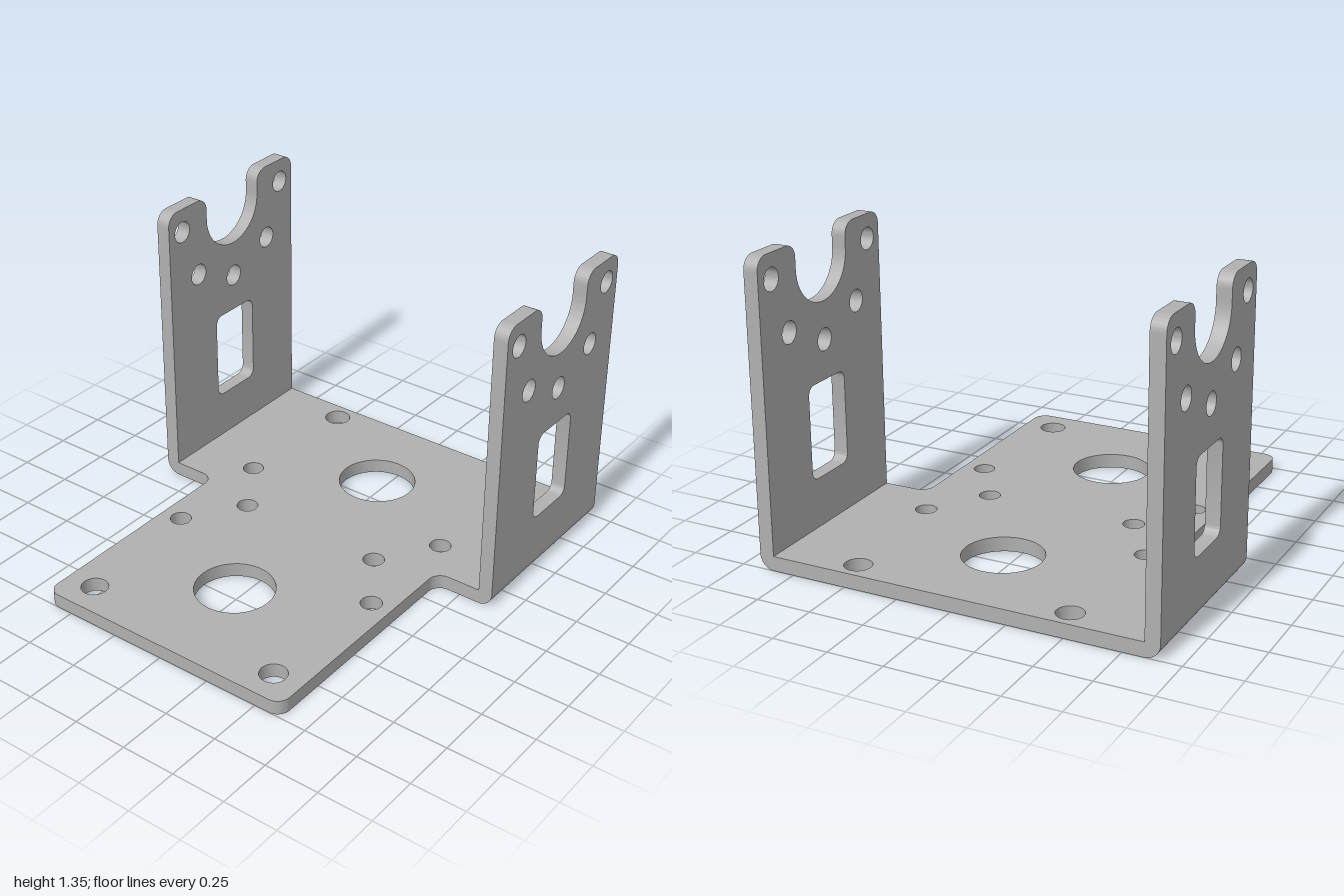
import * as THREE from 'three';
import { toCreasedNormals } from 'three/addons/utils/BufferGeometryUtils.js';

const T = 0.066;            // sheet thickness
const HALF_Z = 0.91;        // outer face of the flanges
const FLANGE_X = 0.556;     // flange centre line
const FLANGE_W = 0.888;

// Traces right-angled corners [x, y, radius]; the first corner must be rounded.
function traceRounded(path, corners) {
  const n = corners.length;
  corners.forEach(([x, y, r], i) => {
    if (!r) return path.lineTo(x, y);
    const p = new THREE.Vector2(x, y);
    const a = corners[(i + n - 1) % n], b = corners[(i + 1) % n];
    const u = new THREE.Vector2(a[0], a[1]).sub(p).normalize();
    const v = new THREE.Vector2(b[0], b[1]).sub(p).normalize();
    path.absarc(x + r * (u.x + v.x), y + r * (u.y + v.y), r,
      Math.atan2(-v.y, -v.x), Math.atan2(-u.y, -u.x), u.cross(v) > 0);
  });
  path.closePath();
  return path;
}

function drill(shape, x, y, r) {
  shape.holes.push(new THREE.Path().absarc(x, y, r, 0, Math.PI * 2, true));
}

function sheet(shape) {
  const geometry = new THREE.ExtrudeGeometry(shape, { depth: T, bevelEnabled: false, curveSegments: 16 });
  return toCreasedNormals(geometry, 0.5);
}

// T-shaped base plate with its bolt pattern
function basePlate(material) {
  const e = HALF_Z - T, w = 0.63, r = 0.06, step = FLANGE_X - FLANGE_W / 2;
  const shape = traceRounded(new THREE.Shape(), [
    [-1, -w, r], [step, -w, r], [step, -e, 0], [1, -e, 0],
    [1, e, 0], [step, e, 0], [step, w, r], [-1, w, r],
  ]);
  for (const s of [-1, 1]) {
    drill(shape, -0.86, s * 0.487, 0.06);
    drill(shape, 0.908, s * 0.487, 0.06);
    drill(shape, -0.24, s * 0.53, 0.048);
    drill(shape, 0.29, s * 0.53, 0.048);
    drill(shape, 0.025, s * 0.355, 0.048);
  }
  drill(shape, -0.505, 0, 0.178);
  drill(shape, FLANGE_X, 0, 0.178);
  const mesh = new THREE.Mesh(sheet(shape).rotateX(-Math.PI / 2), material);
  mesh.name = 'basePlate';
  return mesh;
}

// Upright flange with top notch, window, holes and the rounded bend below it
function flange(material) {
  const h = FLANGE_W / 2, top = 1.35, n = 0.183, r = 0.06, notchY = 1.055;
  const shape = traceRounded(new THREE.Shape(), [
    [h, top, r], [n, top, r], [n, notchY, 0.182], [-n, notchY, 0.182],
    [-n, top, r], [-h, top, r], [-h, T, 0], [h, T, 0],
  ]);
  for (const s of [-1, 1]) {
    drill(shape, s * 0.354, 1.24, 0.05);
    drill(shape, s * 0.25, 0.988, 0.05);
  }
  drill(shape, 0, 0.886, 0.05);
  shape.holes.push(traceRounded(new THREE.Path(), [
    [-0.134, 0.287, 0.04], [-0.134, 0.71, 0.04], [0.134, 0.71, 0.04], [0.134, 0.287, 0.04],
  ]));
  const wall = new THREE.Mesh(sheet(shape), material);
  wall.name = 'flangeWall';
  wall.position.z = HALF_Z - T;

  // quarter-round bend joining wall and base
  const bend = new THREE.Mesh(
    new THREE.CylinderGeometry(T, T, FLANGE_W, 12, 1, false, -Math.PI / 2, Math.PI / 2).rotateZ(Math.PI / 2),
    material);
  bend.name = 'flangeBend';
  bend.position.set(0, T, HALF_Z - T);

  const group = new THREE.Group();
  group.add(wall, bend);
  group.position.x = FLANGE_X;
  return group;
}

export function createModel() {
  const steel = new THREE.MeshStandardMaterial({ color: 0xb0b0b0 });
  steel.name = 'grey steel';

  const model = new THREE.Group();
  model.name = 'mountingBracket';
  const front = flange(steel);
  front.name = 'frontFlange';
  const back = flange(steel);
  back.name = 'backFlange';
  back.rotation.y = Math.PI;
  model.add(basePlate(steel), front, back);
  return model;
}
